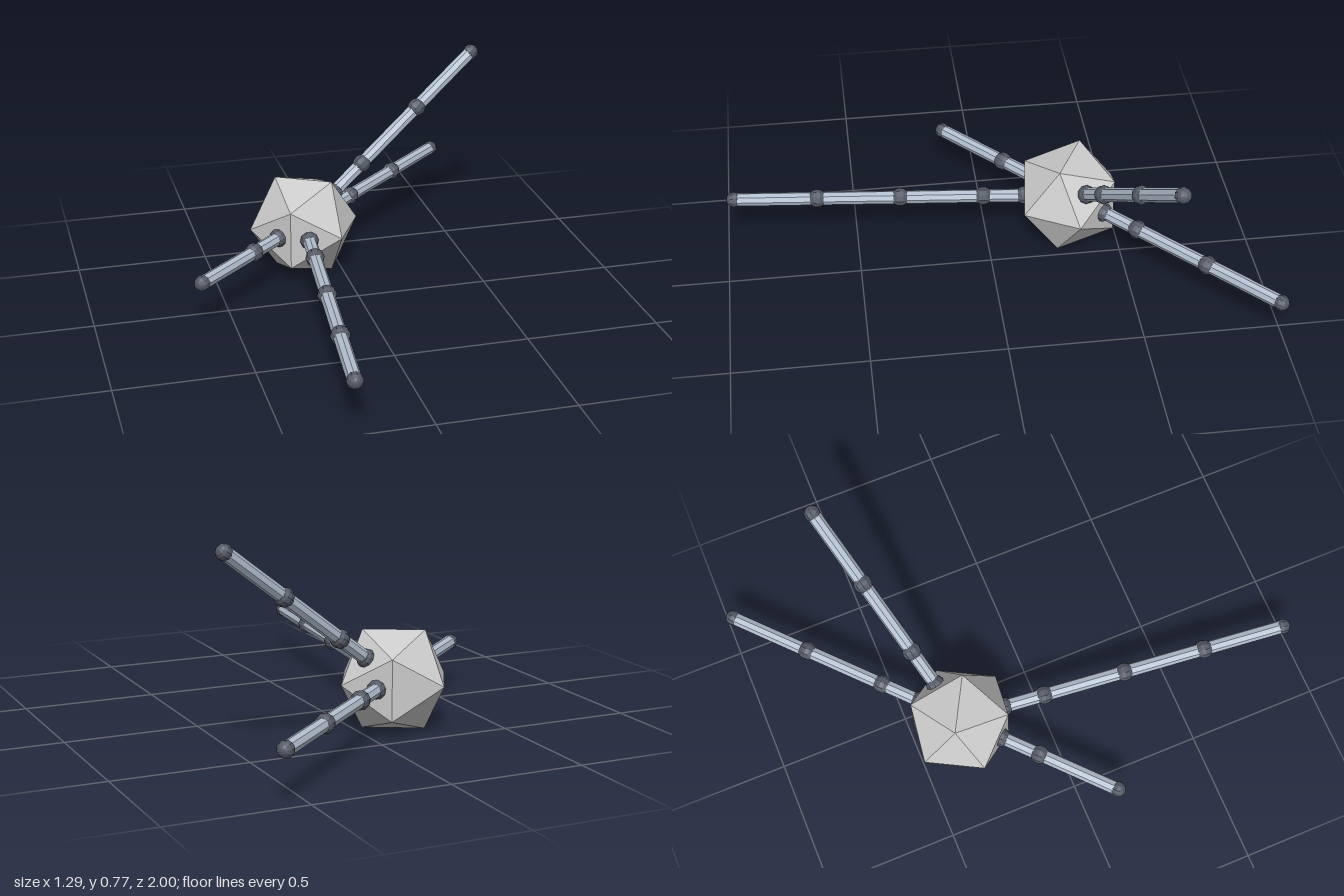
import * as THREE from 'three';

const bodyMat = new THREE.MeshStandardMaterial({ color: 0xcccccc, flatShading: true });
const rodMat = new THREE.MeshStandardMaterial({ color: 0xb4c0d0, flatShading: true });
const jointMat = new THREE.MeshStandardMaterial({ color: 0x555a66, flatShading: true });

const CORE = new THREE.Vector3(-0.137, 0.183, -0.318);
const STOPS = [0.17, 0.33, 0.649, 0.969, 1.289]; // joint distances from the core centre
const UP = new THREE.Vector3(0, 1, 0);

// One straight arm along +y: rods between ball joints, a smaller ball at the tip
function makeArm(name, direction, segments) {
  const arm = new THREE.Group();
  arm.name = name;
  for (let i = 0; i <= segments; i++) {
    const tip = i === segments;
    const ball = new THREE.Mesh(new THREE.SphereGeometry(tip ? 0.03 : 0.036, 10, 8), jointMat);
    ball.name = tip ? 'tip' : 'joint';
    ball.position.y = STOPS[i];
    arm.add(ball);
    if (tip) break;
    const length = STOPS[i + 1] - STOPS[i];
    const rod = new THREE.Mesh(new THREE.CylinderGeometry(0.026, 0.026, length, 8), rodMat);
    rod.name = 'rod';
    rod.position.y = STOPS[i] + length / 2;
    arm.add(rod);
  }
  arm.position.copy(CORE);
  arm.quaternion.setFromUnitVectors(UP, new THREE.Vector3(...direction).normalize());
  return arm;
}

export function createModel() {
  const model = new THREE.Group();
  model.name = 'branchingNode';

  // Faceted core
  const core = new THREE.Mesh(new THREE.IcosahedronGeometry(0.215, 0), bodyMat);
  core.name = 'core';
  core.position.copy(CORE);
  core.rotation.y = -0.4974;
  model.add(core);

  // Arms radiating from the core
  model.add(
    makeArm('backArm', [0.736, 0, -0.677], 3),
    makeArm('raisedArm', [0.776, 0.577, -0.26], 3),
    makeArm('shortArm', [-0.736, 0, 0.677], 2),
    makeArm('longFrontArm', [-0.1, 0, 0.995], 4),
  );
  return model;
}
